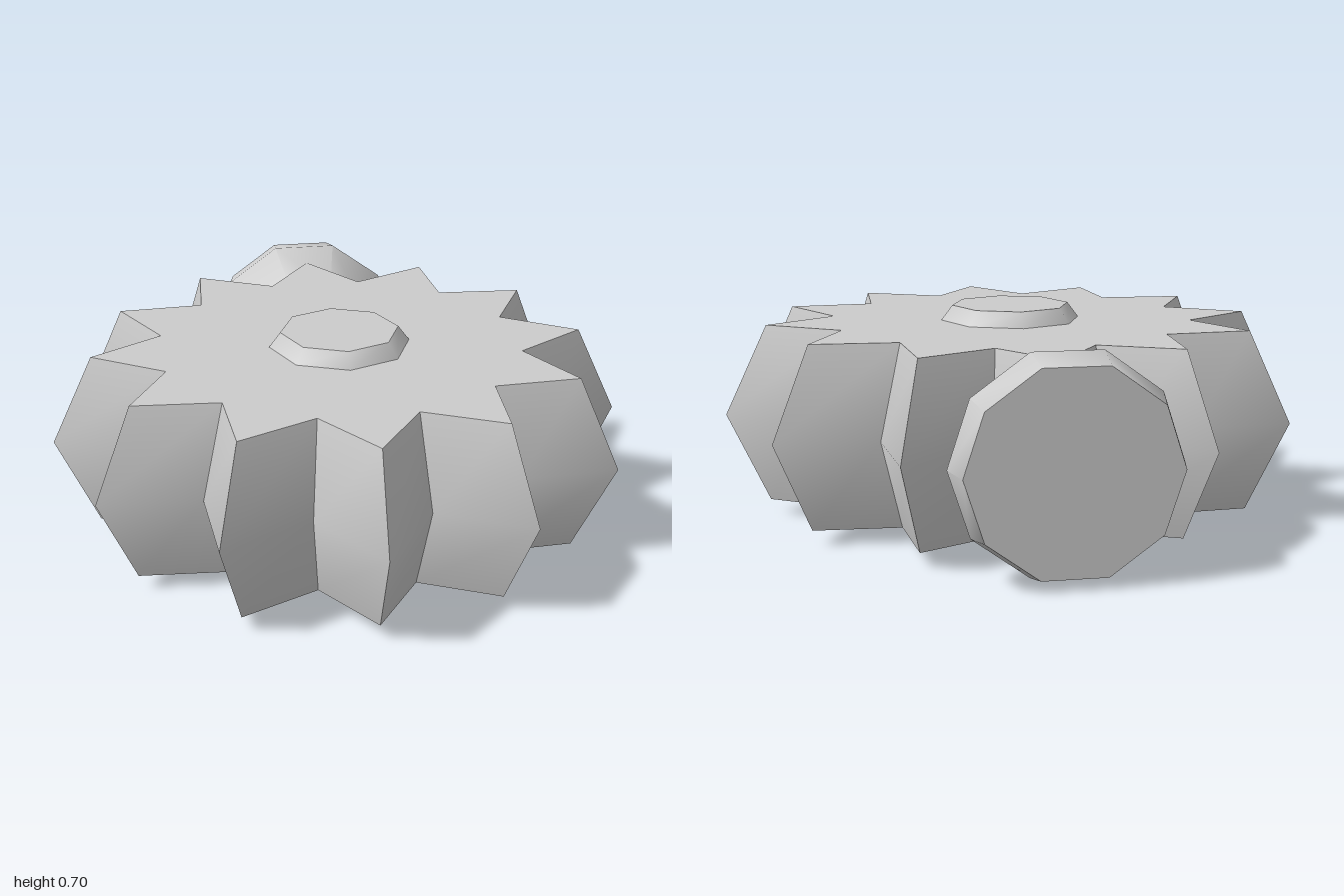
import * as THREE from 'three';
import { toCreasedNormals } from 'three/addons/utils/BufferGeometryUtils.js';

const CENTER_Z = 0.02, MID_Y = 0.35, HALF = 0.3, POINTS = 12;
const TIP = 0.97, VALLEY = 0.715, TAPER = 0.855;
const CREASE = 0.87;

// Corner of the star outline: even = tip, odd = valley
function corner(i, scale = 1) {
  const a = (i * Math.PI) / POINTS;
  const r = (i % 2 ? VALLEY : TIP) * scale;
  return new THREE.Vector2(Math.sin(a) * r, Math.cos(a) * r);
}

// Tooth flanks: each is bent at the middle, softly shaded there, sharp at tips and valleys
function flankGeometry() {
  const pos = [], index = [];
  for (let i = 0; i < POINTS * 2; i++) {
    const base = pos.length / 3;
    for (const [y, s] of [[-HALF, TAPER], [0, 1], [HALF, TAPER]]) {
      for (const c of [corner(i, s), corner(i + 1, s)]) pos.push(c.x, y, c.y);
    }
    for (const b of [base, base + 2]) index.push(b, b + 1, b + 3, b, b + 3, b + 2);
  }
  const g = new THREE.BufferGeometry();
  g.setAttribute('position', new THREE.Float32BufferAttribute(pos, 3));
  g.setIndex(index);
  g.computeVertexNormals();
  return g;
}

export function createModel() {
  const model = new THREE.Group();
  const grey = new THREE.MeshStandardMaterial({ color: 0xcccccc });
  grey.name = 'light grey';

  const add = (parent, name, geometry) => {
    const mesh = new THREE.Mesh(geometry, grey);
    mesh.name = name;
    parent.add(mesh);
    return mesh;
  };

  // Star wheel with flat faces
  const wheel = new THREE.Group();
  wheel.name = 'starWheel';
  wheel.position.set(0, MID_Y, CENTER_Z);
  model.add(wheel);
  add(wheel, 'wheelTeeth', flankGeometry());
  const outline = new THREE.Shape(
    Array.from({ length: POINTS * 2 }, (_, i) => corner(i, TAPER)));
  for (const side of [1, -1]) {
    const label = side > 0 ? 'top' : 'bottom';
    const face = add(wheel, label + 'Face', new THREE.ShapeGeometry(outline));
    face.rotation.x = -side * Math.PI / 2;
    face.position.y = side * HALF;

    // Octagonal bevelled hub
    const hub = add(wheel, label + 'Hub', toCreasedNormals(
      new THREE.CylinderGeometry(0.2, 0.238, 0.05, 8), CREASE));
    hub.rotation.x = side > 0 ? 0 : Math.PI;
    hub.position.y = side * (HALF + 0.025);
  }

  // Ten-sided knob at the back
  const profile = [[0, 0.705], [0.245, 0.705], [0.358, 0.88], [0.33, 1], [0, 1]]
    .map(([r, d]) => new THREE.Vector2(r, d));
  const knob = add(model, 'backKnob', toCreasedNormals(
    new THREE.LatheGeometry(profile, 10, Math.PI / 2), CREASE));
  knob.rotation.x = -Math.PI / 2;
  knob.position.y = MID_Y;

  return model;
}
